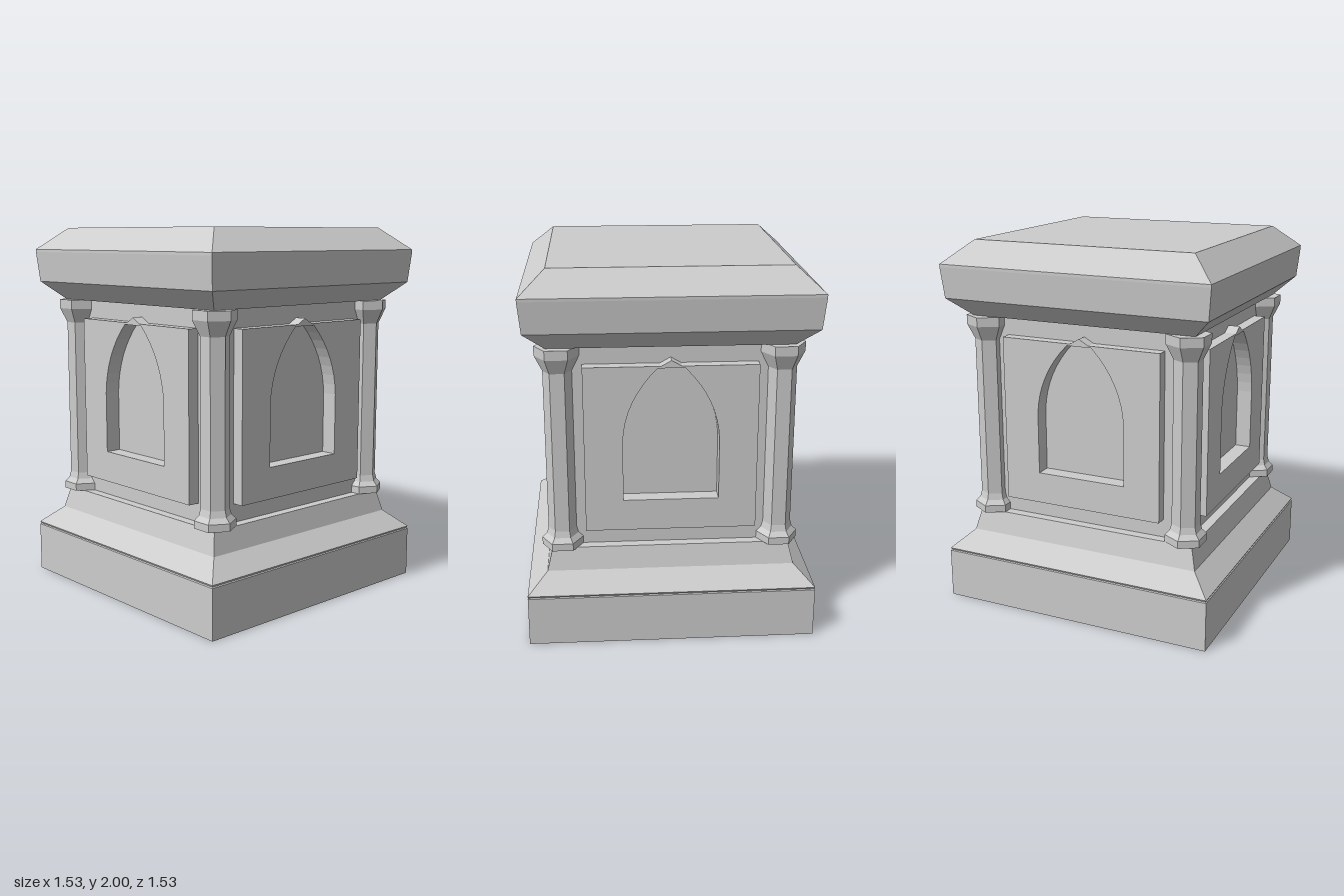
import * as THREE from 'three';

const stone = new THREE.MeshStandardMaterial({ color: 0xcccccc, flatShading: true });
stone.name = 'stone';

function part(name, geometry) {
  const mesh = new THREE.Mesh(geometry, stone);
  mesh.name = name;
  return mesh;
}

// Turn a [radius, height] profile, listed bottom to top, into a prism-like solid
function turned(profile, sides, scale = 1) {
  const pts = profile.map(([r, y]) => new THREE.Vector2(r * scale, y));
  return new THREE.LatheGeometry(pts, sides, Math.PI / sides).toNonIndexed();
}

// Square moulding: profile gives half widths
const squareMoulding = (profile) => turned(profile, 4, Math.SQRT2);

// Pointed window outline with a small flat head
function archHole() {
  const p = new THREE.Path();
  p.moveTo(-0.25, 0.77);
  p.lineTo(0.25, 0.77);
  p.lineTo(0.25, 1.1);
  p.quadraticCurveTo(0.24, 1.32, 0.07, 1.49);
  p.lineTo(-0.07, 1.49);
  p.quadraticCurveTo(-0.24, 1.32, -0.25, 1.1);
  p.closePath();
  return p;
}

// Plate with the arch opening, spanning zBack to zFront
function archedPlate(outline, zBack, zFront) {
  const shape = new THREE.Shape(outline.map(([x, y]) => new THREE.Vector2(x, y)));
  shape.holes.push(archHole());
  return new THREE.ExtrudeGeometry(shape, { depth: zFront - zBack, bevelEnabled: false, curveSegments: 8 })
    .translate(0, 0, zBack);
}

export function createModel() {
  const model = new THREE.Group();
  model.name = 'pedestal';

  model.add(part('base', squareMoulding([
    [0, 0], [0.765, 0], [0.765, 0.27], [0.76, 0.275], [0.765, 0.285], [0.66, 0.38], [0.63, 0.5], [0, 0.5],
  ])));
  model.add(part('cap', squareMoulding([
    [0, 1.6], [0.63, 1.6], [0.735, 1.7], [0.75, 1.865], [0.75, 1.88], [0.615, 2], [0, 2],
  ])));

  // Core forms the back of each niche
  const core = part('core', new THREE.BoxGeometry(1.11, 1.1, 1.11));
  core.position.y = 1.05;
  model.add(core);

  // Each side: wall plate and raised panel with a small peak over the arch
  const wall = archedPlate([[-0.577, 0.5], [0.577, 0.5], [0.577, 1.6], [-0.577, 1.6]], 0.555, 0.577);
  const panel = archedPlate([
    [-0.45, 0.6], [0.45, 0.6], [0.45, 1.5], [0.053, 1.5], [0, 1.53], [-0.053, 1.5], [-0.45, 1.5],
  ], 0.577, 0.64);
  ['front', 'left', 'back', 'right'].forEach((side, i) => {
    const group = new THREE.Group();
    group.name = side + 'Side';
    group.add(part('wall', wall), part('nichePanel', panel));
    group.rotation.y = i * Math.PI / 2;
    model.add(group);
  });

  // Hexagonal corner columns
  const column = turned([
    [0, 0.5], [0.11, 0.5], [0.11, 0.54], [0.085, 0.565], [0.075, 0.6],
    [0.075, 1.47], [0.085, 1.49], [0.115, 1.55], [0.115, 1.6], [0, 1.6],
  ], 6);
  for (const x of [-1, 1]) {
    for (const z of [-1, 1]) {
      const c = part((z > 0 ? 'front' : 'back') + (x > 0 ? 'Left' : 'Right') + 'Column', column);
      c.position.set(x * 0.575, 0, z * 0.575);
      model.add(c);
    }
  }
  return model;
}
